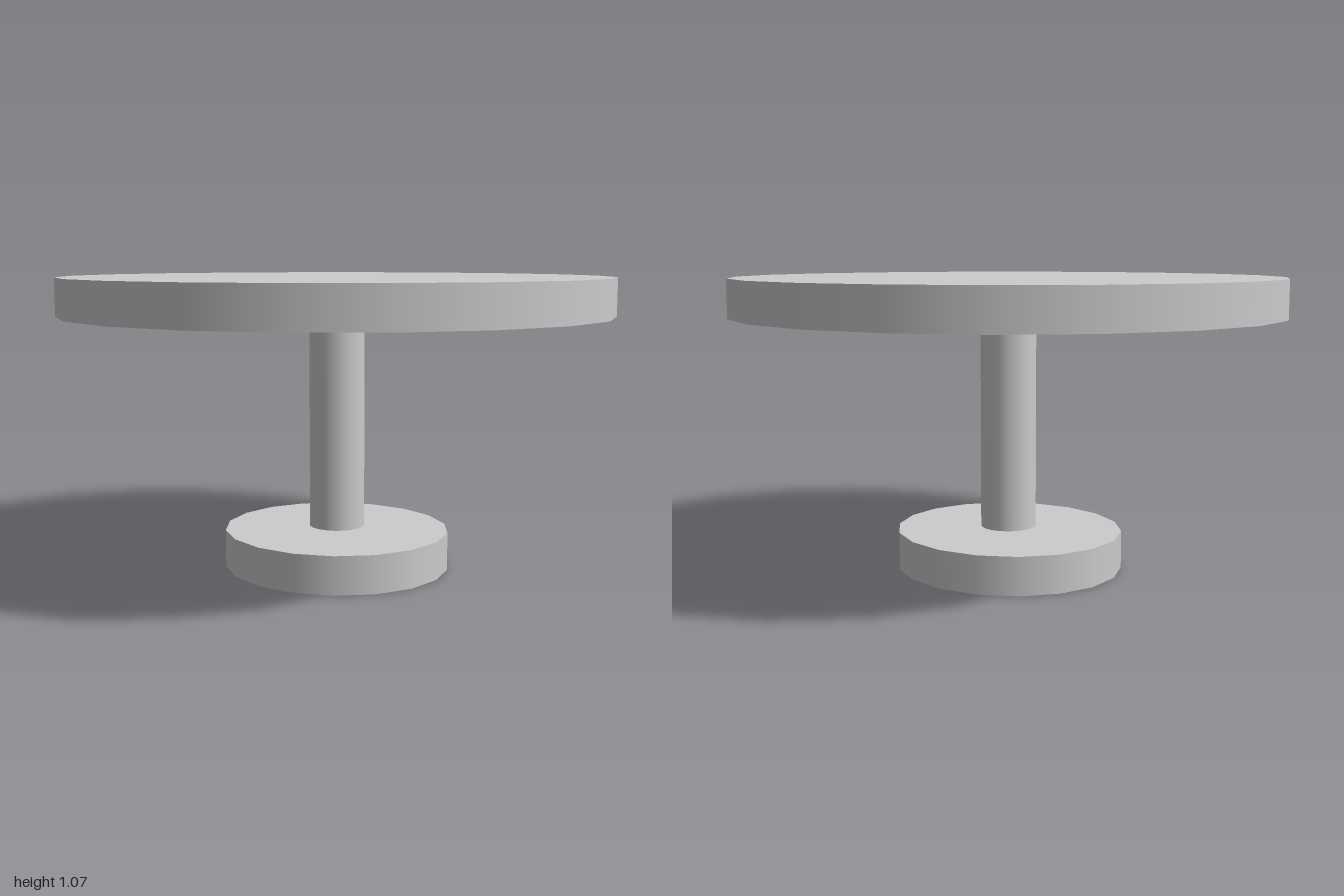
import * as THREE from 'three';

const material = new THREE.MeshStandardMaterial({ color: 0xcccccc });

// Upright disc or post between two heights, with its own x and z radii
function drum(name, rx, rz, y0, y1, sides, x = 0) {
  const geometry = new THREE.CylinderGeometry(1, 1, y1 - y0, sides);
  geometry.rotateY(Math.PI / 2); // a corner points along x
  geometry.scale(rx, 1, rz);
  const mesh = new THREE.Mesh(geometry, material);
  mesh.name = name;
  mesh.position.set(x, (y0 + y1) / 2, 0);
  return mesh;
}

export function createModel() {
  const table = new THREE.Group();
  table.name = 'pedestalTable';
  table.add(
    drum('tableTop', 1, 1, 0.932, 1.07, 20),
    drum('column', 0.102, 0.102, 0.147, 0.932, 20, 0.003),
    drum('base', 0.41, 0.432, 0, 0.138, 18),
  );
  return table;
}
